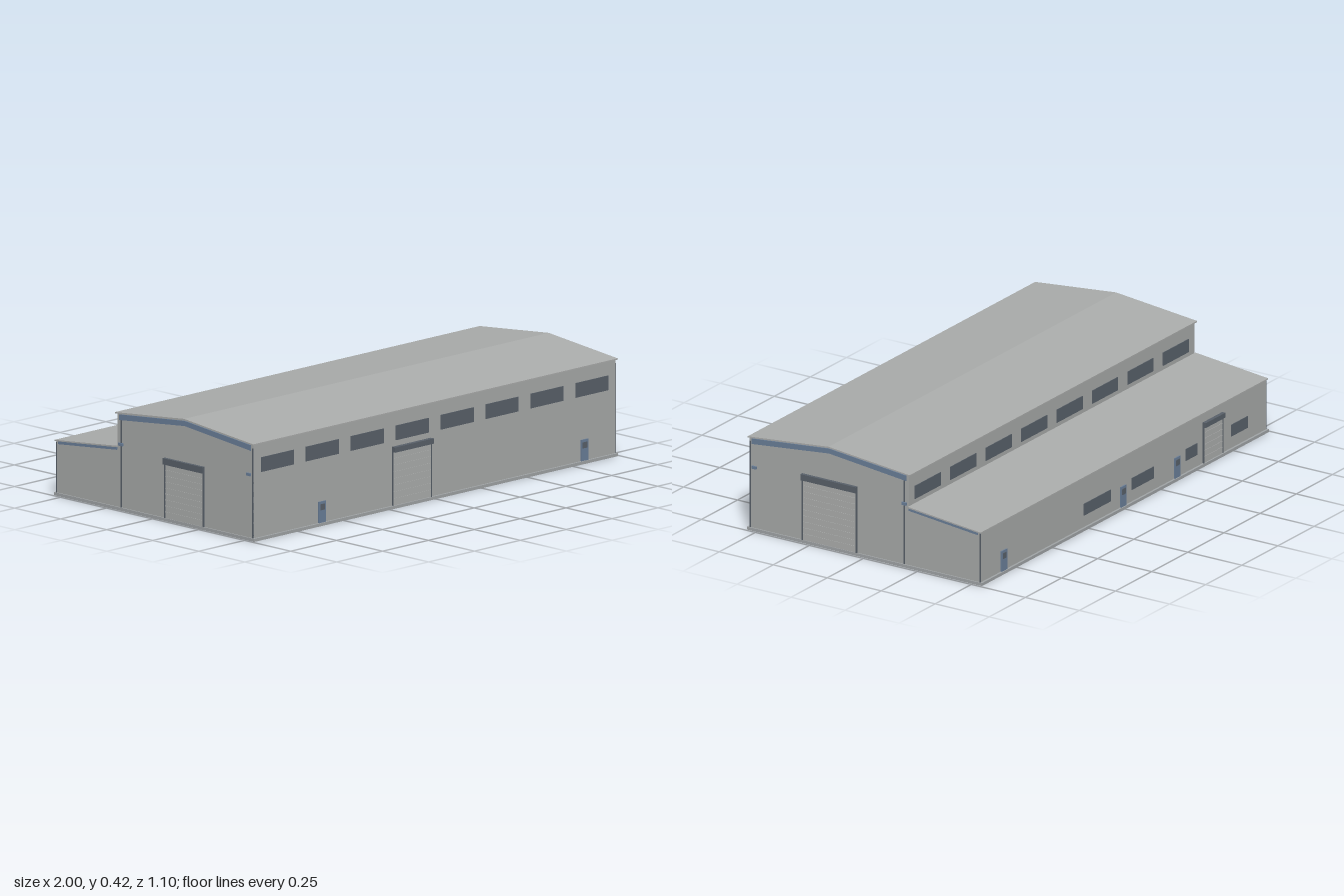
import * as THREE from 'three';

const mat = (name, color) => {
  const m = new THREE.MeshStandardMaterial({ color });
  m.name = name;
  return m;
};

export function createModel() {
  const wall = mat('wallGrey', 0xa8aaa9);
  const roof = mat('roofGrey', 0xabadac);
  const shutter = mat('shutterGrey', 0xacaead);
  const slab = mat('concrete', 0xa0a4a6);
  const blue = mat('trimBlue', 0x6a7f99);
  const dark = mat('darkSlate', 0x59616a);

  const model = new THREE.Group();
  model.name = 'warehouse';

  const add = (parent, name, geo, material) => {
    const mesh = new THREE.Mesh(geo, material);
    mesh.name = name;
    parent.add(mesh);
    return mesh;
  };
  const box = (parent, name, material, w, h, d, x, y, z) =>
    add(parent, name, new THREE.BoxGeometry(w, h, d).translate(x, y, z), material);

  // Prism from a [z, y] outline, running along x from x0 to x1
  const prism = (name, material, outline, x0, x1) => {
    const shape = new THREE.Shape(outline.map(([z, y]) => new THREE.Vector2(-z, y)));
    const geo = new THREE.ExtrudeGeometry(shape, { depth: x1 - x0, bevelEnabled: false });
    return add(model, name, geo.rotateY(Math.PI / 2).translate(x0, 0, 0), material);
  };

  // Group whose local +z points out of a wall; local x runs along the wall
  const onWall = (name, x, z, angle) => {
    const g = new THREE.Group();
    g.name = name;
    g.position.set(x, 0, z);
    g.rotation.y = angle;
    model.add(g);
    return g;
  };

  const BASE = 0.012, WALL_X = 0.987, ROOF_X = 0.994;
  const FRONT = 0.535, MID = -0.202, BACK = -0.535, RIDGE = 0.165;

  // Floor slab and the two building volumes
  box(model, 'floorSlab', slab, 1.985, BASE, 1.088, 0, BASE / 2, 0);
  prism('mainHall', wall,
    [[FRONT, BASE], [FRONT, 0.381], [RIDGE, 0.417], [MID, 0.381], [MID, BASE]], -WALL_X, WALL_X);
  prism('leanTo', wall,
    [[MID, BASE], [MID, 0.249], [BACK, 0.216], [BACK, BASE]], -WALL_X, WALL_X);

  // Thin roof sheets
  prism('mainRoof', roof, [[0.54, 0.381], [0.54, 0.386], [RIDGE, 0.423], [-0.21, 0.386],
    [-0.21, 0.381], [RIDGE, 0.417]], -ROOF_X, ROOF_X);
  prism('leanToRoof', roof,
    [[MID, 0.248], [MID, 0.254], [-0.539, 0.22], [-0.539, 0.215]], -ROOF_X, ROOF_X);

  // Window: thin dark plate
  const windowPlate = (g, u, y0, y1, w) =>
    box(g, 'window', dark, w, y1 - y0, 0.004, u, (y0 + y1) / 2, 0.001);

  // Personnel door with a small glazed panel
  const door = (g, u) => {
    box(g, 'door', blue, 0.038, 0.084, 0.006, u, BASE + 0.042, 0.002);
    box(g, 'doorWindow', dark, 0.024, 0.024, 0.003, u, 0.074, 0.005);
  };

  // Roller shutter: curtain with slats, side guides and housing on top
  const rollerShutter = (g, u, w, top, boxH, out, guide) => {
    const h = top - BASE;
    box(g, 'shutterCurtain', shutter, w, h, 0.004, u, BASE + h / 2, 0.001);
    const count = Math.round(h / 0.025);
    for (let i = 1; i < count; i++) {
      box(g, 'shutterSlat', shutter, w, 0.003, 0.002, u, BASE + (h * i) / count, 0.0035);
    }
    for (const s of [-1, 1]) {
      box(g, 'shutterGuide', dark, guide, h, 0.006, u + (s * w) / 2, BASE + h / 2, 0.003);
    }
    box(g, 'shutterHousing', dark, w + guide, boxH, out, u, top + boxH / 2, out / 2);
  };

  // Front wall and clerestory above the lean-to
  const front = onWall('frontWall', 0, FRONT, 0);
  const clerestory = onWall('clerestoryWall', 0, MID, Math.PI);
  for (let i = 0; i < 8; i++) {
    const u = -0.858 + i * 0.245;
    windowPlate(front, u, 0.268, 0.326, 0.178);
    windowPlate(clerestory, u, 0.272, 0.326, 0.178);
  }
  door(front, -0.615);
  door(front, 0.815);
  rollerShutter(front, -0.126, 0.208, 0.224, 0.021, 0.017, 0.003);

  // Back wall of the lean-to (local x is mirrored)
  const back = onWall('backWall', 0, BACK, Math.PI);
  for (const x of [0.83, 0.005, -0.367]) door(back, -x);
  for (const [x, w] of [[0.183, 0.185], [-0.13, 0.15], [-0.467, 0.08], [-0.8, 0.115]]) {
    windowPlate(back, -x, 0.06, 0.108, w);
  }
  rollerShutter(back, 0.615, 0.132, 0.16, 0.02, 0.015, 0.003);

  // Gable ends: shutters
  const leftGable = onWall('leftGable', WALL_X, 0, Math.PI / 2);
  rollerShutter(leftGable, -0.164, 0.25, 0.26, 0.025, 0.013, 0.006);
  const rightGable = onWall('rightGable', -WALL_X, 0, -Math.PI / 2);
  rollerShutter(rightGable, 0.162, 0.21, 0.225, 0.025, 0.013, 0.006);

  // Gable ends: blue verge trims, corner posts and lamps
  for (const s of [-1, 1]) {
    const x0 = s > 0 ? WALL_X - 0.001 : -WALL_X - 0.004;
    const x1 = x0 + 0.005;
    prism('mainVergeTrim', blue, [[0.523, 0.357], [0.523, 0.379], [RIDGE, 0.414],
      [-0.192, 0.379], [-0.192, 0.357], [RIDGE, 0.394]], x0, x1);
    prism('leanToVergeTrim', blue,
      [[-0.204, 0.237], [-0.204, 0.247], [-0.523, 0.216], [-0.523, 0.205]], x0, x1);
    for (const z of [0.532, -0.181]) {
      box(model, 'cornerPost', dark, 0.004, 0.355, 0.006, s * WALL_X, BASE + 0.1775, z);
    }
    box(model, 'leanToCornerPost', dark, 0.004, 0.2, 0.004, s * WALL_X, BASE + 0.1, -0.533);
    for (const z of [0.512, -0.182]) {
      box(model, 'wallLamp', blue, 0.008, 0.011, 0.021, s * (WALL_X + 0.003), 0.262, z);
    }
  }
  return model;
}
